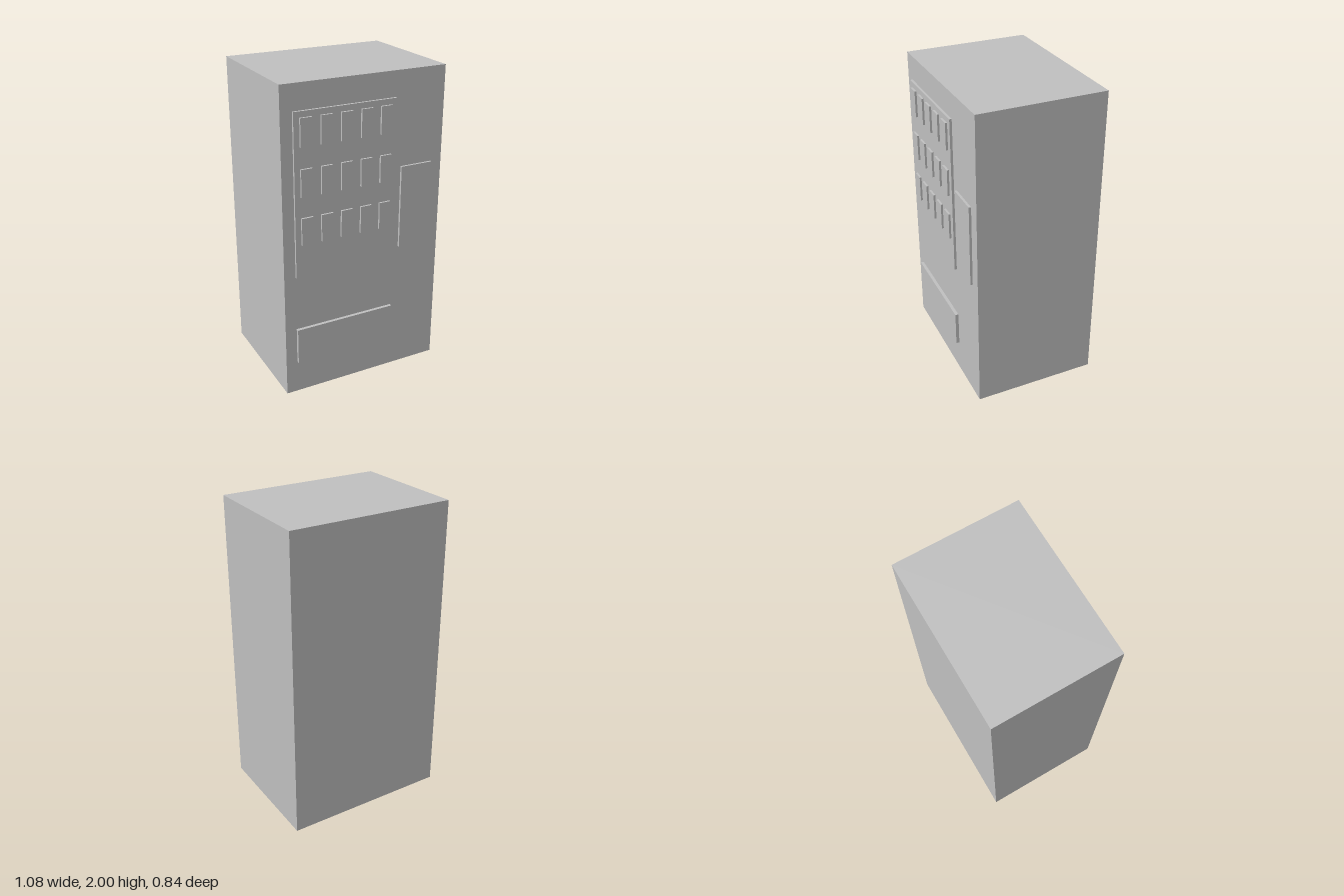
import * as THREE from 'three';

export function createModel() {
  const model = new THREE.Group();
  const gray = new THREE.MeshStandardMaterial({ color: 0xbfbfbf });
  gray.name = 'light gray';

  // Box given by its limits on each axis
  function box(name, x0, x1, y0, y1, z0, z1, parent = model) {
    const mesh = new THREE.Mesh(new THREE.BoxGeometry(x1 - x0, y1 - y0, z1 - z0), gray);
    mesh.position.set((x0 + x1) / 2, (y0 + y1) / 2, (z0 + z1) / 2);
    mesh.name = name;
    parent.add(mesh);
  }

  const front = 0.39;
  box('cabinet', -0.54, 0.54, 0, 2, -0.418, front);

  // Raised panels on the front, slightly sunk into the cabinet
  const sunk = front - 0.01;
  box('displayWindow', -0.466, 0.203, 0.815, 1.842, sunk, 0.405);
  box('controlPanel', 0.248, 0.463, 0.868, 1.406, sunk, 0.405);
  box('dispenserTray', -0.466, 0.203, 0.22, 0.456, sunk, 0.411);

  // Three rows of five products on the display window
  const products = new THREE.Group();
  products.name = 'products';
  model.add(products);
  for (let row = 0; row < 3; row++) {
    for (let col = 0; col < 5; col++) {
      const x = -0.392 + col * 0.1302;
      const y = 1.72 - row * 0.302;
      box(`product${row * 5 + col + 1}`, x - 0.0375, x + 0.0375, y - 0.086, y + 0.086, 0.4, 0.418, products);
    }
  }
  return model;
}
